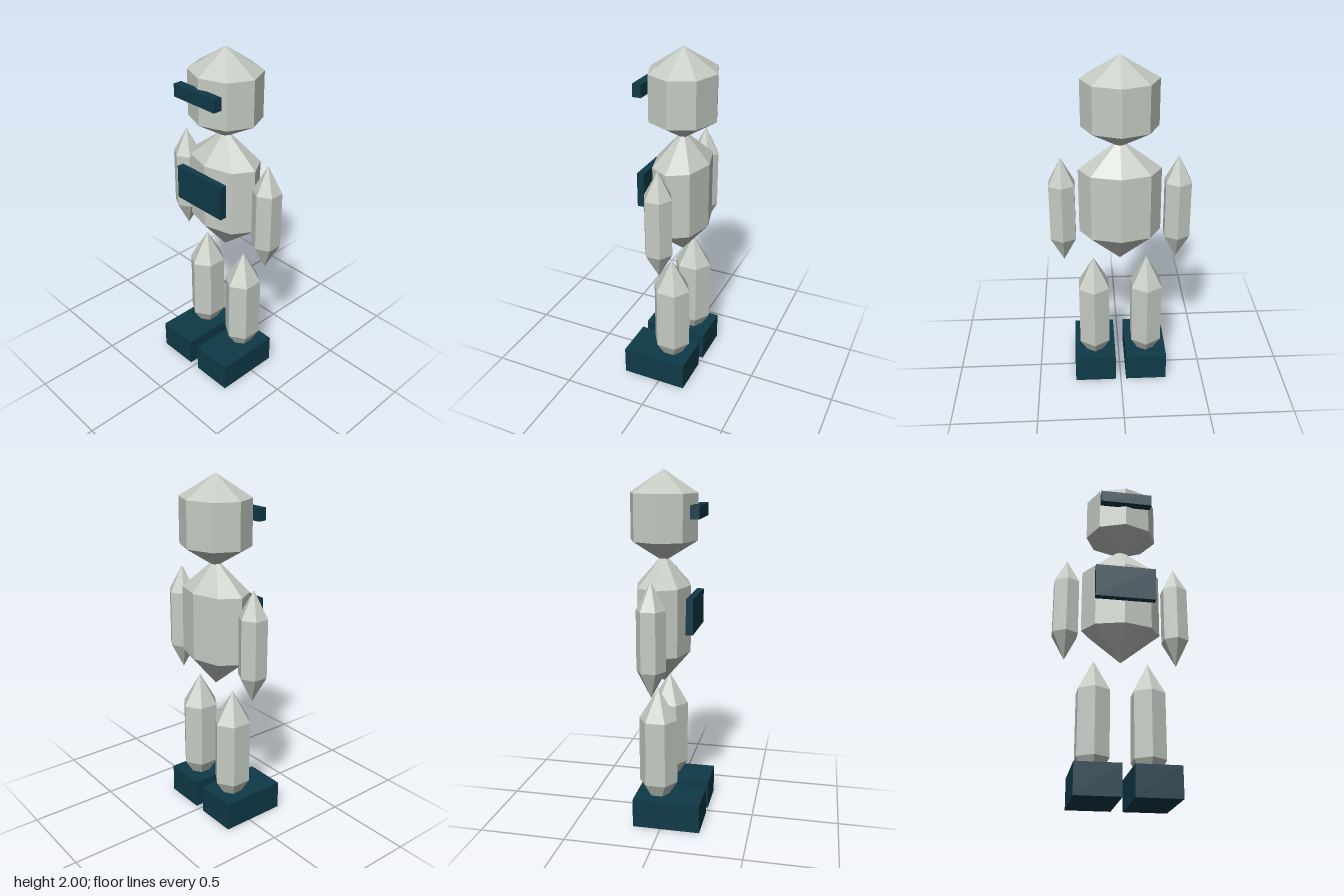
import * as THREE from 'three';

const shell = new THREE.MeshStandardMaterial({ color: 0xc5cbc3 });
shell.name = 'paleGreyShell';
shell.flatShading = true;
const dark = new THREE.MeshStandardMaterial({ color: 0x0f3a48 });
dark.name = 'darkTeal';

const BODY_Z = -0.035;

// Faceted prism that tapers to a point at both ends; y = [bottom tip, lower rim, upper rim, top tip]
function crystal(name, sides, rx, rz, x, y) {
  const points = y.map((h, i) => new THREE.Vector2(i === 0 || i === 3 ? 0 : 1, h));
  const geometry = new THREE.LatheGeometry(points, sides);
  geometry.scale(rx, 1, rz);
  const mesh = new THREE.Mesh(geometry, shell);
  mesh.name = name;
  mesh.position.set(x, 0, BODY_Z);
  return mesh;
}

// Box given by its minimum and maximum corners
function block(name, min, max) {
  const size = max.map((v, i) => v - min[i]);
  const mesh = new THREE.Mesh(new THREE.BoxGeometry(...size), dark);
  mesh.name = name;
  mesh.position.set(...max.map((v, i) => (v + min[i]) / 2));
  return mesh;
}

export function createModel() {
  const model = new THREE.Group();
  model.name = 'robot';

  // Head and torso
  model.add(crystal('head', 8, 0.21, 0.19, 0, [1.5, 1.62, 1.876, 2]));
  model.add(crystal('torso', 8, 0.23, 0.155, 0, [0.807, 0.992, 1.372, 1.547]));

  // Visor and chest panel
  model.add(block('visor', [-0.151, 1.746, 0.138], [0.151, 1.817, 0.188]));
  model.add(block('chestPanel', [-0.173, 1.127, 0.123], [0.173, 1.325, 0.163]));

  // Limbs and feet, mirrored
  for (const [side, s] of [['left', 1], ['right', -1]]) {
    model.add(crystal(side + 'Arm', 6, 0.082, 0.081, s * 0.322, [0.807, 0.96, 1.29, 1.442]));
    model.add(crystal(side + 'Leg', 6, 0.102, 0.112, s * 0.155, [0.07, 0.247, 0.625, 0.81]));
    const foot = block(side + 'Foot', [0.032, 0, -0.161], [0.277, 0.168, 0.226]);
    foot.position.x *= s;
    model.add(foot);
  }
  return model;
}
